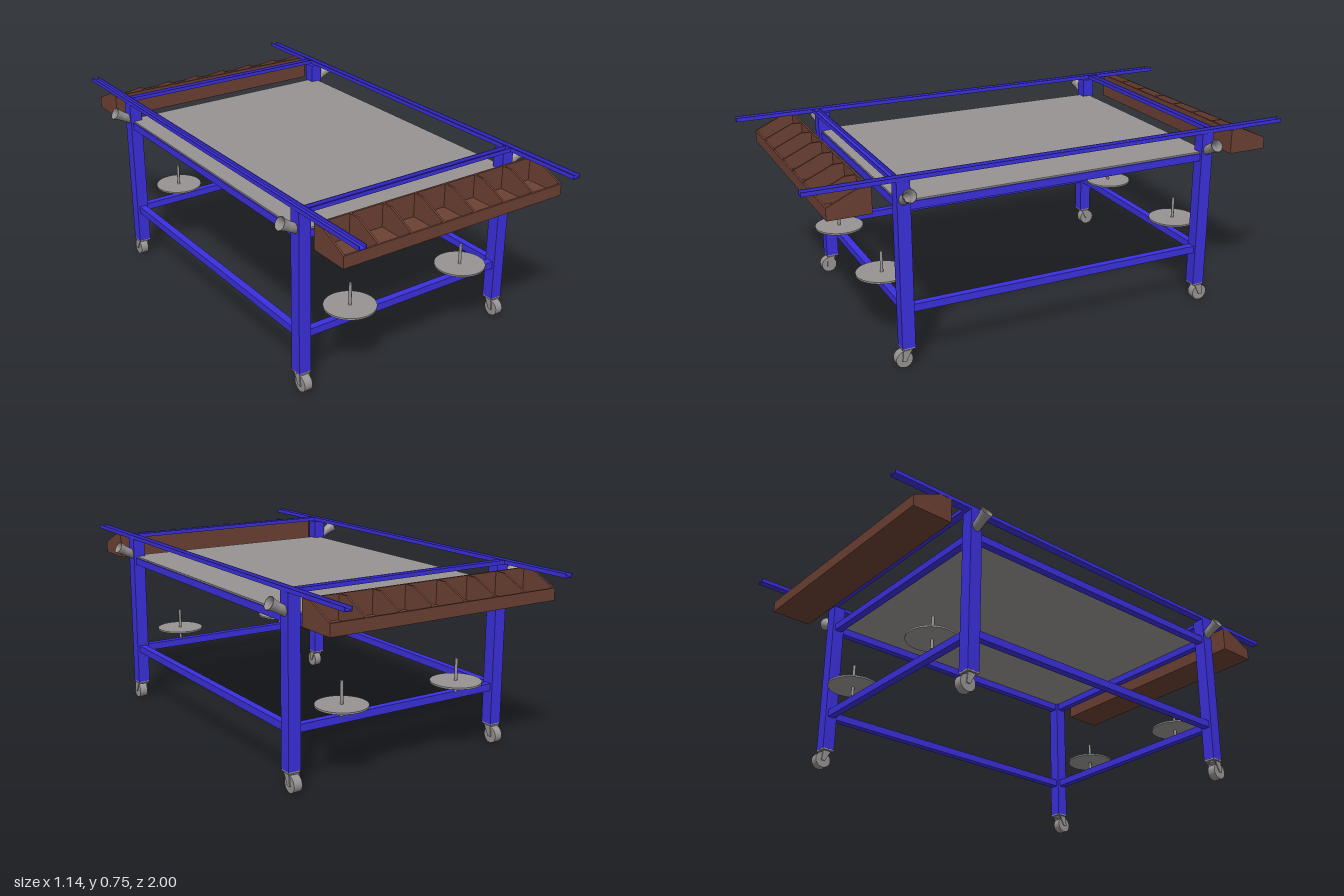
import * as THREE from 'three';

const blue = new THREE.MeshStandardMaterial({ color: 0x3b2fdc });
const brown = new THREE.MeshStandardMaterial({ color: 0x6b4033 });
const grey = new THREE.MeshStandardMaterial({ color: 0x989393 });
const greyOpen = new THREE.MeshStandardMaterial({ color: 0x989393, side: THREE.DoubleSide });

function add(parent, name, geometry, material, x = 0, y = 0, z = 0) {
  const mesh = new THREE.Mesh(geometry, material);
  mesh.name = name;
  mesh.position.set(x, y, z);
  parent.add(mesh);
  return mesh;
}

const box = (w, h, d) => new THREE.BoxGeometry(w, h, d);

// Outline in (z, y), extruded along x and centred on x = 0
function profileAlongX(points, length) {
  const shape = new THREE.Shape(points.map(([z, y]) => new THREE.Vector2(-z, y)));
  const geometry = new THREE.ExtrudeGeometry(shape, { depth: length, bevelEnabled: false });
  geometry.translate(0, 0, -length / 2);
  return geometry.rotateY(Math.PI / 2);
}

// Channel bar, open at the top
function channel(length) {
  const w = 0.031, h = 0.016, t = 0.003;
  return profileAlongX([[0, 0], [w, 0], [w, h], [w - t, h], [w - t, t], [t, t], [t, h], [0, h]], length);
}

function createCaster() {
  const caster = new THREE.Group();
  caster.name = 'caster';
  add(caster, 'casterPlate', box(0.05, 0.006, 0.05), grey, 0, 0.078);
  add(caster, 'casterNeck', new THREE.CylinderGeometry(0.014, 0.014, 0.008, 16), grey, 0, 0.072);
  add(caster, 'casterForkTop', box(0.046, 0.004, 0.034), grey, 0, 0.07, 0.004);
  const cheek = [[-0.013, 0.072], [0.021, 0.072], [0.026, 0.028], [0.01, 0.028]];
  for (const s of [-1, 1]) add(caster, 'casterForkCheek', profileAlongX(cheek, 0.004), grey, s * 0.021, 0, 0);
  const wheel = add(caster, 'casterWheel', new THREE.CylinderGeometry(0.033, 0.033, 0.034, 24), grey, 0, 0.033, 0.016);
  wheel.rotation.z = Math.PI / 2;
  return caster;
}

// Flared, hollow horn pointing outwards and up
function createHorn() {
  const points = [[0.001, 0], [0.019, 0], [0.019, 0.04], [0.021, 0.062], [0.027, 0.08],
    [0.023, 0.08], [0.016, 0.055], [0.015, 0.02], [0.001, 0.02]].map(p => new THREE.Vector2(...p));
  return new THREE.LatheGeometry(points, 24);
}

// Sloped bin with seven open compartments
function createBin() {
  const bin = new THREE.Group();
  bin.name = 'compartmentBin';
  const width = 0.997, count = 7, wall = 0.008;
  const side = [[0.755, 0.631], [0.92, 0.631], [0.92, 0.678], [0.805, 0.73], [0.755, 0.73]];
  add(bin, 'binFloor', box(width, wall, 0.165), brown, 0, 0.631 + wall / 2, 0.8375);
  add(bin, 'binBackWall', box(width, 0.099, wall), brown, 0, 0.6805, 0.755 + wall / 2);
  add(bin, 'binFrontLip', box(width, 0.047, wall), brown, 0, 0.6545, 0.92 - wall / 2);
  for (let i = 0; i <= count; i++) {
    const x = (i / count - 0.5) * (width - wall);
    add(bin, 'binDivider', profileAlongX(side, wall), brown, x);
  }
  return bin;
}

export function createModel() {
  const table = new THREE.Group();
  table.name = 'workTable';
  const legX = 0.473, legZ = 0.64;

  // Corner legs with casters and horns
  for (const sx of [-1, 1]) for (const sz of [-1, 1]) {
    add(table, 'leg', box(0.051, 0.65, 0.051), blue, sx * legX, 0.406, sz * legZ);
    const caster = createCaster();
    caster.position.set(sx * legX, 0, sz * legZ);
    caster.rotation.y = sz > 0 ? 0 : Math.PI;
    table.add(caster);
    const horn = add(table, 'horn', createHorn(), greyOpen, sx * 0.488, 0.659, sz * legZ);
    horn.rotation.z = -sx * 1.07;
  }

  // Lower and upper frame rails
  for (const y of [0.234, 0.633]) for (const s of [-1, 1]) {
    add(table, 'sideRail', box(0.03, 0.03, 1.23), blue, s * legX, y, 0);
    add(table, 'endRail', box(0.895, 0.03, 0.03), blue, 0, y, s * legZ);
  }

  // Table sheet
  add(table, 'tableSheet', box(0.965, 0.006, 1.3), grey, 0, 0.651, 0);

  // Long channel rails and short crossbars on top
  for (const s of [-1, 1]) {
    const rail = add(table, 'topRail', channel(2), blue, s * 0.467, 0.731, 0);
    rail.rotation.y = s * Math.PI / 2;
    const bar = add(table, 'topCrossbar', channel(0.936), blue, 0, 0.731, s * 0.651);
    bar.rotation.y = s > 0 ? 0 : Math.PI;
  }

  // Compartment bins at both ends
  for (const turn of [0, Math.PI]) {
    const bin = createBin();
    bin.rotation.y = turn;
    table.add(bin);
  }

  // Discs on spindles above the lower end rails
  for (const sx of [-1, 1]) for (const sz of [-1, 1]) {
    const discY = sx > 0 && sz > 0 ? 0.295 : 0.289;
    add(table, 'spindle', new THREE.CylinderGeometry(0.006, 0.006, 0.135, 12), grey, sx * 0.267, 0.3145, sz * 0.655);
    add(table, 'disc', new THREE.CylinderGeometry(0.1, 0.1, 0.007, 40), grey, sx * 0.267, discY, sz * 0.655);
  }
  return table;
}
